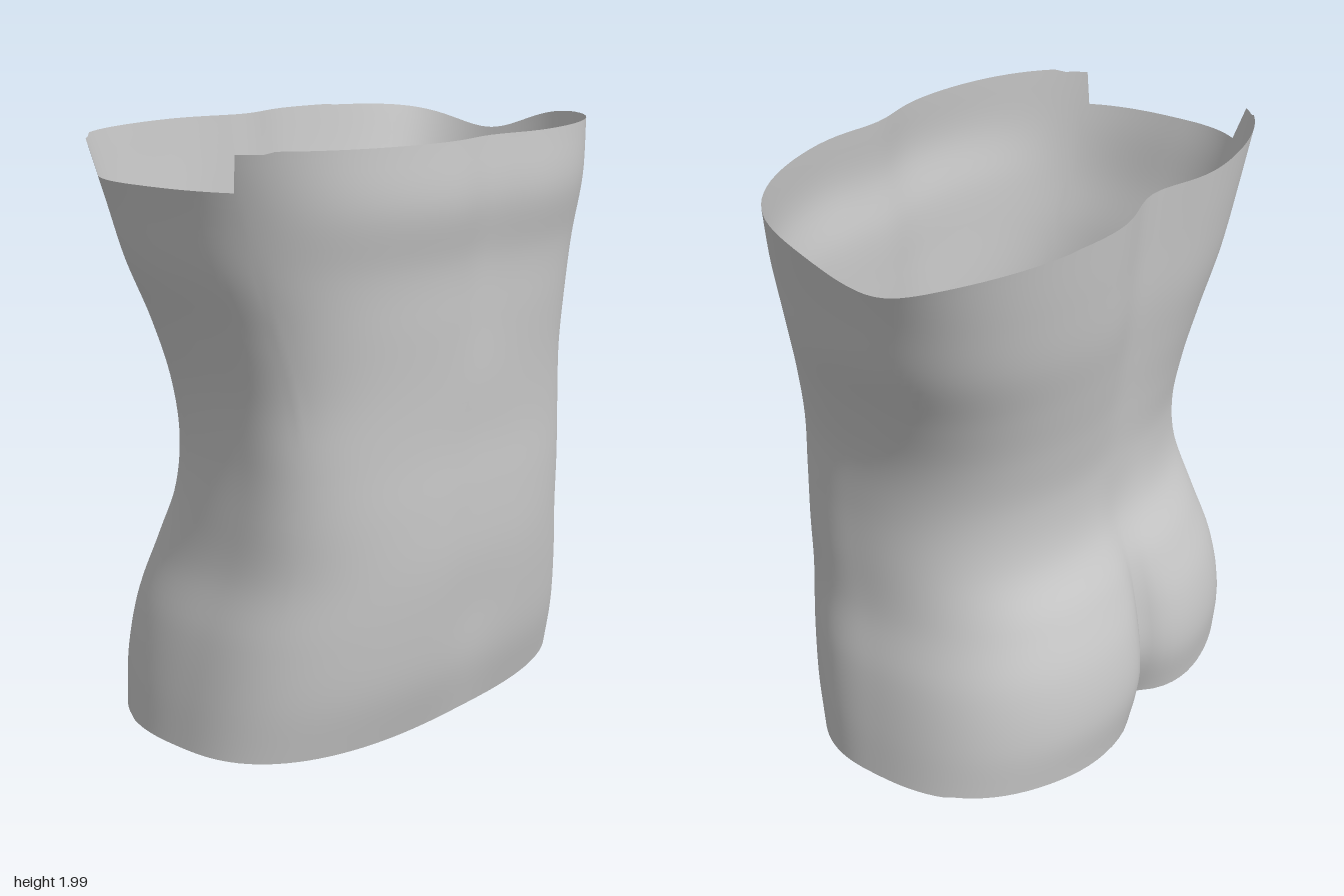
import * as THREE from 'three';

// Cross-sections every 0.2 up: half width, z of widest point, front z, front dip, back z, back groove depth, groove width
const SECTIONS = [
  [0.865, 0.00, 0.49, 0.00, -0.61, 0.17, 0.09],
  [0.84, 0.02, 0.54, 0.01, -0.635, 0.12, 0.09],
  [0.805, 0.05, 0.565, 0.02, -0.61, 0.10, 0.09],
  [0.755, 0.10, 0.58, 0.02, -0.54, 0.06, 0.09],
  [0.735, 0.15, 0.58, 0.02, -0.45, 0.03, 0.10],
  [0.725, 0.17, 0.575, 0.02, -0.433, 0.02, 0.13],
  [0.735, 0.13, 0.58, 0.02, -0.46, 0.03, 0.15],
  [0.78, 0.07, 0.59, 0.03, -0.50, 0.045, 0.16],
  [0.845, 0.00, 0.60, 0.035, -0.54, 0.06, 0.17],
  [0.89, -0.06, 0.635, 0.04, -0.565, 0.07, 0.18],
  [0.945, -0.10, 0.62, 0.04, -0.585, 0.075, 0.18],
];
const COLUMNS = 128, ROWS = 60, ROUNDNESS = 2.6;

const profile = new THREE.CubicInterpolant(
  SECTIONS.map((s, i) => i * 0.2), SECTIONS.flat(), 7, new Float32Array(7));

// Point on the body wall at a given angle and height
function wallPoint(angle, y) {
  const [w, mid, front, frontDip, back, groove, grooveWidth] = profile.evaluate(y);
  const c = Math.cos(angle), s = Math.sin(angle);
  const r = (Math.abs(c) ** ROUNDNESS + Math.abs(s) ** ROUNDNESS) ** (-1 / ROUNDNESS);
  const x = w * c * r;
  let z = mid + (s > 0 ? front - mid : mid - back) * s * r;
  if (s > 0) {
    z -= frontDip * Math.exp(-((x / 0.16) ** 2)) * s;
  } else {
    // Sharp cleft low down, soft spine groove higher up
    const power = 1 + THREE.MathUtils.smoothstep(y, 0.5, 0.9);
    z -= groove * Math.exp(-((Math.abs(x) / grooveWidth) ** power)) * s;
  }
  return [x, y, z];
}

// Upper rim: a soft dip under the left arm, a torn notch under the right arm
function rimTop(angle) {
  const [x, , z] = wallPoint(angle, 1.95);
  if (x > 0.5) return 1.995 - 0.09 * Math.exp(-(((z + 0.13) / 0.23) ** 2));
  if (x < -0.5 && z > -0.34 && z < 0.28) return 1.87;
  return x < -0.8 ? 1.985 : 1.995;
}

// Lower rim: the back lobes hang slightly lower
function rimBottom(angle) {
  const [x, , z] = wallPoint(angle, 0);
  return z < -0.3 ? 0.02 * (1 - Math.exp(-(((Math.abs(x) - 0.35) / 0.2) ** 2))) : 0.015;
}

function bodyGeometry() {
  const positions = [], index = [];
  for (let j = 0; j <= ROWS; j++) {
    for (let i = 0; i < COLUMNS; i++) {
      const angle = (i / COLUMNS) * Math.PI * 2;
      positions.push(...wallPoint(angle, THREE.MathUtils.lerp(rimBottom(angle), rimTop(angle), j / ROWS)));
      if (j === ROWS) continue;
      const a = j * COLUMNS + i, b = j * COLUMNS + (i + 1) % COLUMNS;
      index.push(a, a + COLUMNS, b, b, a + COLUMNS, b + COLUMNS);
    }
  }
  const geometry = new THREE.BufferGeometry();
  geometry.setAttribute('position', new THREE.Float32BufferAttribute(positions, 3));
  geometry.setIndex(index);
  geometry.computeVertexNormals();
  return geometry;
}

export function createModel() {
  const group = new THREE.Group();
  group.name = 'torsoShell';
  const grey = new THREE.MeshStandardMaterial({ color: 0xc8c8c8, side: THREE.DoubleSide });
  grey.name = 'light grey';

  // Open torso wall
  const torso = new THREE.Mesh(bodyGeometry(), grey);
  torso.name = 'torso';
  group.add(torso);
  return group;
}
